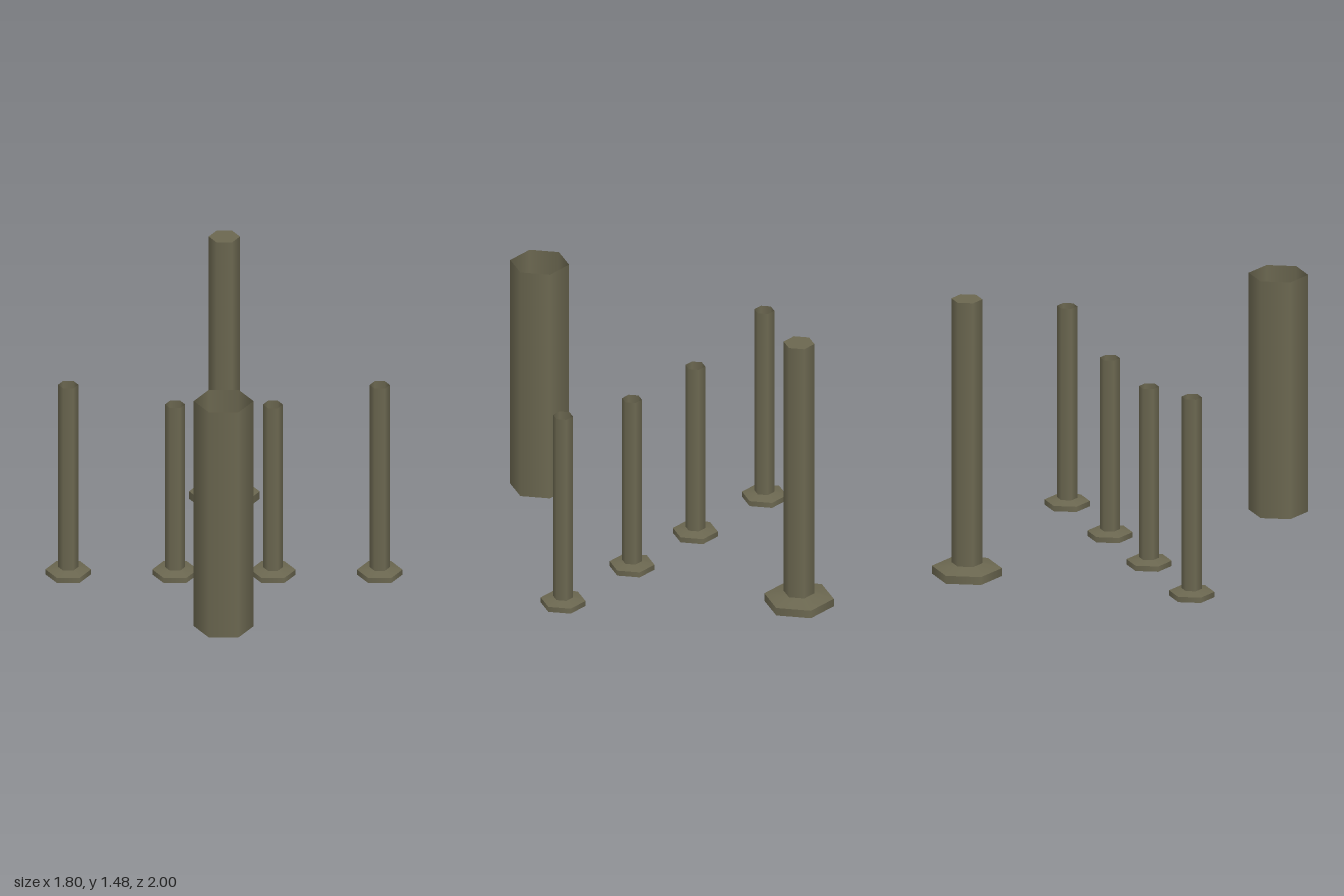
import * as THREE from 'three';

const bronze = new THREE.MeshStandardMaterial({ color: 0x6b6750, side: THREE.DoubleSide });
bronze.name = 'dull bronze';

// Open six-sided band between two heights, corners on the x axis
function band(name, y0, y1, r0, r1 = r0) {
  const g = new THREE.CylinderGeometry(r1, r0, y1 - y0, 6, 1, true, Math.PI / 6);
  g.translate(0, (y0 + y1) / 2, 0);
  const m = new THREE.Mesh(g, bronze);
  m.name = name;
  return m;
}

// Flat hexagon or hexagonal ring, facing up or down
function hexFace(name, y, inner, outer, up) {
  const g = inner > 0 ? new THREE.RingGeometry(inner, outer, 6) : new THREE.CircleGeometry(outer, 6);
  g.rotateX(up ? -Math.PI / 2 : Math.PI / 2).translate(0, y, 0);
  const m = new THREE.Mesh(g, bronze);
  m.name = name;
  return m;
}

// Shaft rising from a flanged hexagonal foot
function post(name, { x, z, shaft, foot, bottom, rim, neck, top, solid }) {
  const group = new THREE.Group();
  group.name = name;
  group.add(
    band('shaft', solid ? neck : bottom, top, shaft),
    band('footSide', bottom, rim, foot),
    band('footSlope', rim, neck, foot, shaft)
  );
  if (solid) {
    group.add(hexFace('shaftCap', top, 0, shaft, true));
    // Very shallow point under the foot
    group.add(band('footUnderside', 0, bottom, 0.001, foot));
  } else {
    group.add(hexFace('footUnderside', bottom, shaft, foot, false));
  }
  group.position.set(x, 0, z);
  return group;
}

export function createModel() {
  const model = new THREE.Group();
  model.name = 'hexagonalPosts';

  // Wide open sleeve at the front
  const sleeve = band('sleeve', 0.12, 1.38, 0.151);
  sleeve.position.z = 0.87;
  model.add(sleeve);

  // Tall capped post at the back
  model.add(post('tallPost', {
    x: 0, z: -0.845, shaft: 0.079, foot: 0.178,
    bottom: 0.008, rim: 0.05, neck: 0.073, top: 1.477, solid: true
  }));

  // Mirrored pairs of hollow posts
  for (const side of [-1, 1]) {
    const common = { z: 0.05, shaft: 0.051, foot: 0.115, bottom: 0.015, rim: 0.043, neck: 0.057, solid: false };
    const label = side > 0 ? 'left' : 'right';
    model.add(post(label + 'InnerPost', { ...common, x: side * 0.247, top: 0.967 }));
    model.add(post(label + 'OuterPost', { ...common, x: side * 0.786, top: 1.077 }));
  }
  return model;
}
